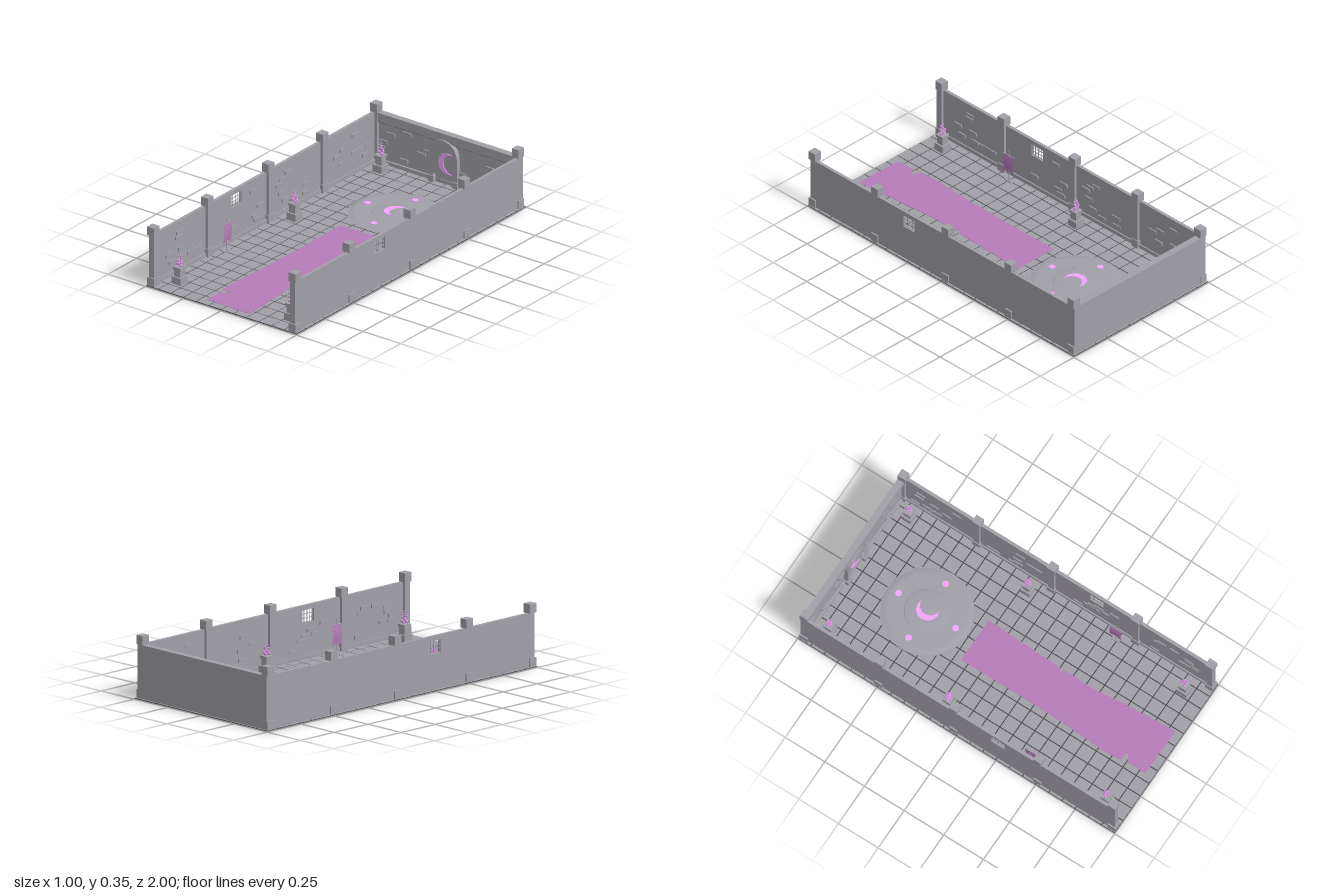
import * as THREE from 'three';
import { mergeGeometries } from 'three/addons/utils/BufferGeometryUtils.js';

const stone = new THREE.MeshStandardMaterial({ color: 0xa2a0a8 });
const smoothStone = new THREE.MeshStandardMaterial({ color: 0xa2a0a8, side: THREE.DoubleSide });
const grout = new THREE.MeshStandardMaterial({ color: 0x4c4b50 });
const cloth = new THREE.MeshStandardMaterial({ color: 0xb67db9, side: THREE.DoubleSide });
const glow = new THREE.MeshStandardMaterial({ color: 0xf4a6ff });
const ember = new THREE.MeshStandardMaterial({ color: 0xd894e2 });

// Box given by its centre and size
const box = (x, y, z, w, h, d) => new THREE.BoxGeometry(w, h, d).translate(x, y, z);

function add(parent, name, geometry, material = stone) {
  const mesh = new THREE.Mesh(Array.isArray(geometry) ? mergeGeometries(geometry) : geometry, material);
  mesh.name = name;
  parent.add(mesh);
  return mesh;
}

function seeded(seed) {
  return () => (seed = (seed * 16807) % 2147483647) / 2147483647;
}

const polygon = (points) => new THREE.Shape(points.map(([x, y]) => new THREE.Vector2(x, y)));
const extrude = (shape, depth, curveSegments = 10) =>
  new THREE.ExtrudeGeometry(shape, { depth, bevelEnabled: false, curveSegments });

// Turned shape with fully smoothed rims
function lathe(points) {
  const geometry = new THREE.LatheGeometry(points.map(([x, y]) => new THREE.Vector2(x, y)), 48);
  geometry.normalizeNormals();
  return geometry;
}

// Crescent opening towards +x
function crescent(r, depth) {
  const points = [];
  const arc = (cx, radius, from, to) => {
    for (let i = 0; i <= 8; i++) {
      const a = THREE.MathUtils.degToRad(from + ((to - from) * i) / 8);
      points.push([cx + radius * Math.cos(a), radius * Math.sin(a)]);
    }
  };
  arc(0, r, 66, 294);
  arc(0.466 * r, 0.916 * r, 265, 95);
  return extrude(polygon(points), depth);
}

// Arched outline standing on y = 0
function archPath(path, half, spring) {
  path.moveTo(-half, 0);
  path.lineTo(-half, spring);
  path.absarc(0, spring, half, Math.PI, 0, true);
  path.lineTo(half, 0);
  path.lineTo(-half, 0);
  return path;
}

function buildFloor(root) {
  const rand = seeded(11);
  const tiles = [];
  const nx = 12, nz = 24, sx = 1 / nx, sz = 2 / nz;
  for (let i = 0; i < nx; i++) {
    for (let j = 0; j < nz; j++) {
      const top = 0.008 + rand() * 0.001;
      tiles.push(box(-0.5 + (i + 0.5) * sx, (0.003 + top) / 2, -1 + (j + 0.5) * sz, sx - 0.006, top - 0.003, sz - 0.006));
    }
  }
  add(root, 'floorTiles', tiles);
  add(root, 'floorGrout', box(0, 0.005, 0, 0.998, 0.0035, 1.998), grout);
}

function buildSideWall(root, side) {
  const wall = new THREE.Group();
  wall.name = side > 0 ? 'leftWall' : 'rightWall';
  root.add(wall);

  // Wall panel with a window opening
  const shape = polygon([[-0.985, 0.008], [0.985, 0.008], [0.985, 0.3], [-0.985, 0.3]]);
  shape.holes.push(polygon([[0.21, 0.205], [0.21, 0.275], [0.295, 0.275], [0.295, 0.205]]));
  const panel = add(wall, 'wallPanel', extrude(shape, 0.018));
  panel.rotation.y = -Math.PI / 2;
  panel.position.x = side > 0 ? 0.485 : -0.467;

  // Window bars
  const bars = [];
  for (let i = 0; i <= 4; i++) bars.push(box(side * 0.476, 0.24, 0.21 + i * 0.02125, 0.003, 0.07, 0.003));
  for (let i = 0; i <= 3; i++) bars.push(box(side * 0.476, 0.205 + i * 0.0233, 0.2525, 0.003, 0.003, 0.085));
  add(wall, 'windowBars', bars);

  // Pillars with base and cap blocks
  for (const z of [0.973, 0.505, -0.025, -0.497, -0.967]) {
    add(wall, 'pillar', [
      box(side * 0.468, 0.17, z, 0.033, 0.3, 0.036),
      box(side * 0.47, 0.031, z, 0.046, 0.048, 0.048),
      box(side * 0.47, 0.325, z, 0.046, 0.05, 0.048),
    ]);
  }

  // Skirting and raised bricks along the inner face
  add(wall, 'skirting', box(side * 0.464, 0.019, 0, 0.008, 0.022, 1.96));
  const rand = seeded(side > 0 ? 23 : 57);
  const bricks = [];
  for (const start of [-0.92, -0.45, 0.02, 0.55]) {
    for (let i = 0; i < 9; i++) {
      const z = start + 0.03 + rand() * 0.32;
      const y = 0.06 + Math.floor(rand() * 8) * 0.025;
      if (y > 0.18 && z > 0.15 && z < 0.34) continue;
      bricks.push(box(side * 0.465, y, z, 0.008, 0.019, 0.055));
    }
  }
  add(wall, 'wallBricks', bricks);
}

function buildBackWall(root) {
  const wall = new THREE.Group();
  wall.name = 'backWall';
  root.add(wall);
  add(wall, 'wallPanel', box(0, 0.154, -0.979, 0.97, 0.292, 0.022));
  add(wall, 'topTrim', box(0, 0.275, -0.961, 0.93, 0.05, 0.018));
  add(wall, 'topTrimShadowGap', box(0, 0.2475, -0.964, 0.9, 0.005, 0.012), grout);
  add(wall, 'skirting', box(0, 0.019, -0.963, 0.93, 0.022, 0.014));

  const spots = [[-0.372, 0.19], [-0.262, 0.222], [-0.125, 0.157], [-0.17, 0.132], [-0.285, 0.062], [-0.44, 0.1],
    [-0.42, 0.135], [0.11, 0.066], [0.1, 0.09], [0.285, 0.175], [0.36, 0.168], [0.32, 0.06]];
  add(wall, 'wallBricks', spots.map(([x, y]) => box(x, y, -0.966, 0.055, 0.019, 0.01)));

  // Arched doorway with a crescent on its panel
  const door = new THREE.Group();
  door.name = 'archedDoorway';
  door.position.set(-0.009, 0.008, 0);
  wall.add(door);
  const frame = archPath(new THREE.Shape(), 0.092, 0.165);
  frame.holes.push(archPath(new THREE.Path(), 0.067, 0.165));
  add(door, 'archFrame', extrude(frame, 0.03).translate(0, 0, -0.972));
  add(door, 'doorPanel', extrude(archPath(new THREE.Shape(), 0.068, 0.165), 0.012).translate(0, 0, -0.972));
  add(door, 'archFeet', [-1, 1].map((s) => box(s * 0.08, 0.018, -0.955, 0.038, 0.036, 0.038)));
  add(door, 'doorCrescent', crescent(0.0625, 0.006).translate(0.019, 0.119, -0.962), glow);
}

function buildDais(root) {
  const dais = new THREE.Group();
  dais.name = 'dais';
  dais.position.z = -0.51;
  root.add(dais);
  add(dais, 'daisPlatform',
    lathe([[0, 0.001], [0.19, 0.001], [0.26, 0], [0.263, 0.004], [0.242, 0.009], [0.225, 0.014], [0.21, 0.0145], [0.122, 0.0155]]),
    smoothStone);
  add(dais, 'daisCentre', lathe([[0.122, 0.012], [0.119, 0.0165], [0.06, 0.0185], [0, 0.019]]), smoothStone);
  add(dais, 'daisCrescent', crescent(0.063, 0.004).rotateX(-Math.PI / 2).translate(0.006, 0.0175, 0), glow);
  for (let i = 0; i < 4; i++) {
    const a = (i * Math.PI) / 2;
    add(dais, 'daisStud', new THREE.CylinderGeometry(0.018, 0.018, 0.006, 16)
      .translate(0.18 * Math.cos(a), 0.015, 0.18 * Math.sin(a)), glow);
  }
}

function buildCarpet(root) {
  // Worn outline with tears along both long edges
  const outline = [[-0.13, -0.21], [0.135, -0.21], [0.128, 0.0], [0.122, 0.2], [0.118, 0.25], [0.09, 0.26], [0.12, 0.275],
    [0.115, 0.45], [0.13, 0.6], [0.145, 0.8], [0.155, 0.955], [-0.13, 0.95], [-0.128, 0.84], [-0.08, 0.81],
    [-0.14, 0.8], [-0.145, 0.7], [-0.13, 0.4], [-0.128, 0.1]];
  add(root, 'carpet', extrude(polygon(outline), 0.002).rotateX(Math.PI / 2).translate(0, 0.0112, 0), cloth);
}

function buildPedestal(root, x, z, seed) {
  const pedestal = new THREE.Group();
  pedestal.name = 'pedestal';
  pedestal.position.set(x, 0.008, z);
  root.add(pedestal);
  add(pedestal, 'pedestalStone', [
    box(0, 0.021, 0, 0.06, 0.042, 0.06),
    box(0, 0.062, 0, 0.04, 0.045, 0.04),
    box(0, 0.09, 0, 0.05, 0.014, 0.05),
  ]);
  // Flame of rounded beads, widest a little above its foot
  const rand = seeded(seed);
  const beads = [];
  for (let i = 0; i < 13; i++) {
    const t = i / 12;
    const spread = 0.004 + 0.009 * Math.sin(Math.PI * Math.min(1, 0.25 + 0.8 * t));
    const a = i * 2.4 + rand();
    beads.push(new THREE.IcosahedronGeometry(0.0095 * (1 - 0.7 * t), 1)
      .translate(spread * Math.cos(a), 0.104 + 0.066 * t, spread * Math.sin(a)));
  }
  add(pedestal, 'flame', beads, ember);
}

function buildBanner(root, side) {
  const banner = new THREE.Group();
  banner.name = 'banner';
  banner.position.set(side * 0.414, 0, 0.41);
  root.add(banner);
  add(banner, 'bannerStand', [
    new THREE.CylinderGeometry(0.003, 0.003, 0.197, 8).translate(0, 0.1065, 0),
    new THREE.CylinderGeometry(0.0025, 0.0025, 0.084, 8).rotateX(Math.PI / 2).translate(-side * 0.004, 0.175, 0),
    box(0, 0.011, 0, 0.018, 0.006, 0.05),
  ]);
  // Hanging cloth with a gentle billow and a notched hem
  const sheet = new THREE.PlaneGeometry(0.07, 0.115, 6, 6).rotateY(Math.PI / 2);
  const p = sheet.attributes.position;
  for (let i = 0; i < p.count; i++) {
    const v = 0.5 - p.getY(i) / 0.115;
    p.setX(i, -side * (0.004 + 0.005 * Math.sin(v * Math.PI)));
    p.setY(i, p.getY(i) + v * (0.02 - 0.5 * Math.abs(p.getZ(i))) + 0.116);
  }
  sheet.computeVertexNormals();
  add(banner, 'bannerCloth', sheet, cloth);
}

export function createModel() {
  const root = new THREE.Group();
  root.name = 'moonHall';
  buildFloor(root);
  buildBackWall(root);
  buildDais(root);
  buildCarpet(root);
  for (const side of [-1, 1]) {
    buildSideWall(root, side);
    buildBanner(root, side);
    [-0.88, -0.13, 0.87].forEach((z, i) => {
      const x = side < 0 ? -0.375 : i === 2 ? 0.37 : 0.39;
      buildPedestal(root, x, z, 31 + i * 7 + side);
    });
  }
  return root;
}
